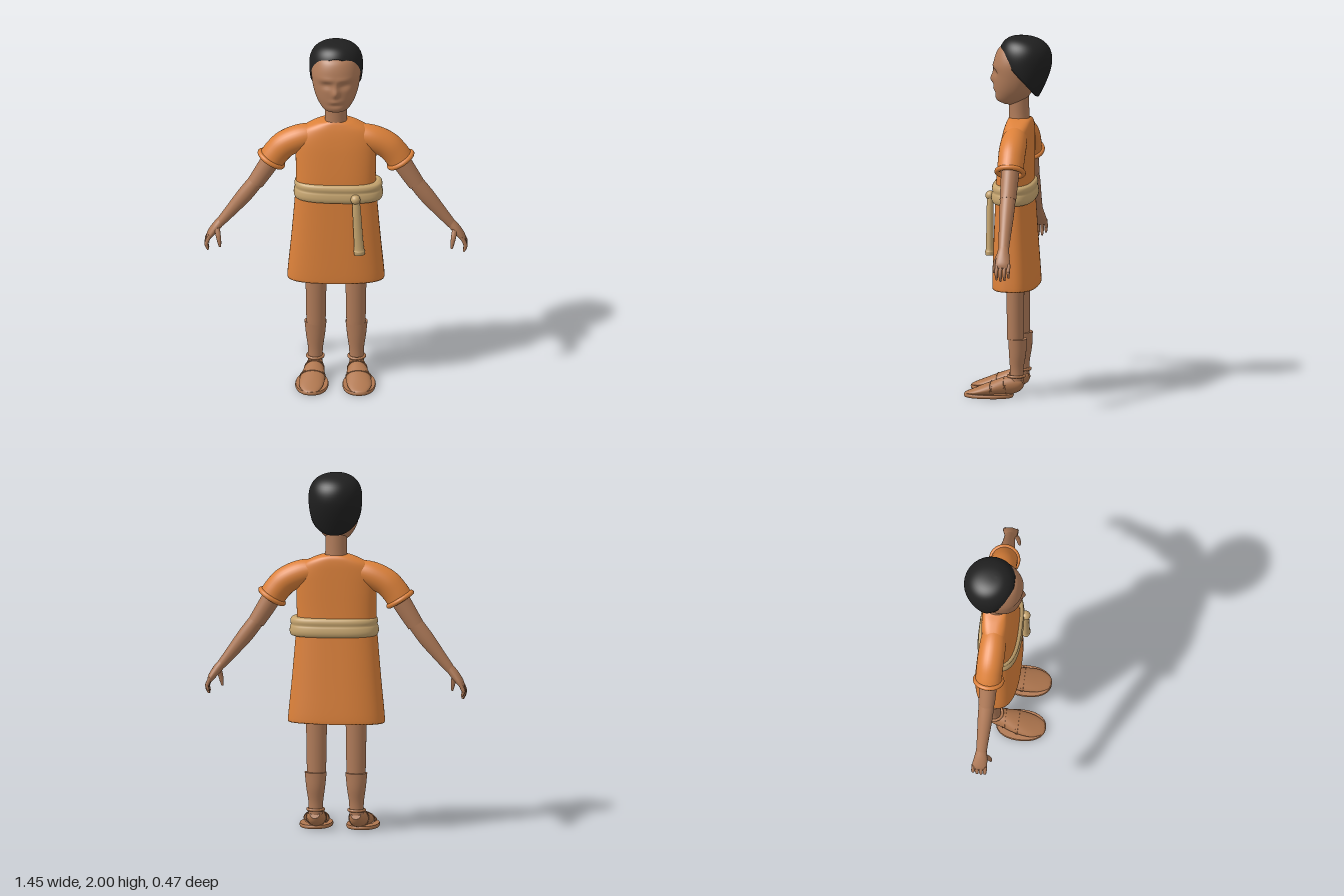
import * as THREE from 'three';

const material = (name, color, side = THREE.FrontSide) => {
  const m = new THREE.MeshStandardMaterial({ color, side });
  m.name = name;
  return m;
};
const X = new THREE.Vector3(1, 0, 0), Z = new THREE.Vector3(0, 0, 1);

// Smooth loft through oval sections [x, y, z, a, b]; b is the radius along `side`, a the one across it
function loft(sections, { side = Z, power = 2, sides = 32, steps = 5, caps = true } = {}) {
  const path = new THREE.CatmullRomCurve3(sections.map(s => new THREE.Vector3(s[0], s[1], s[2])), false, 'catmullrom');
  const radii = new THREE.CatmullRomCurve3(sections.map(s => new THREE.Vector3(s[3], s[4], 0)), false, 'catmullrom');
  const count = (sections.length - 1) * steps;
  const rows = [];
  if (caps) rows.push([0, 0], [0, 1]);
  for (let i = 0; i <= count; i++) rows.push([i / count, 1]);
  if (caps) rows.push([1, 1], [1, 0]);
  const bend = v => Math.sign(v) * Math.pow(Math.abs(v), 2 / power);
  const pos = [], index = [];
  rows.forEach(([t, k], i) => {
    const c = path.getPoint(t), r = radii.getPoint(t);
    const across = side.clone().cross(path.getTangent(t)).normalize();
    for (let j = 0; j < sides; j++) {
      const f = j / sides * Math.PI * 2;
      const p = c.clone().addScaledVector(across, k * r.x * bend(Math.cos(f)))
        .addScaledVector(side, k * r.y * bend(Math.sin(f)));
      pos.push(p.x, p.y, p.z);
      if (i) {
        const a = (i - 1) * sides + j, b = (i - 1) * sides + (j + 1) % sides;
        index.push(a, b, b + sides, a, b + sides, a + sides);
      }
    }
  });
  return surface(pos, index);
}

function surface(pos, index) {
  const g = new THREE.BufferGeometry();
  g.setAttribute('position', new THREE.Float32BufferAttribute(pos, 3));
  g.setIndex(index);
  g.computeVertexNormals();
  return g;
}

// Head with nose, brow, eye sockets and lips pushed out of the smooth form
function headGeometry() {
  const levels = [ // y, half width, front z, back z
    [1.622, 0.045, 0.035, -0.06], [1.645, 0.075, 0.073, -0.09], [1.7, 0.108, 0.083, -0.13],
    [1.77, 0.128, 0.086, -0.16], [1.85, 0.135, 0.088, -0.18], [1.92, 0.117, 0.066, -0.18],
    [1.955, 0.085, 0.025, -0.15], [1.975, 0.05, -0.02, -0.12]];
  const g = loft(levels.map(([y, w, f, b]) => [0, y, (f + b) / 2, w, (f - b) / 2]), { sides: 96, steps: 8, power: 2.15 });
  const p = g.attributes.position;
  const bump = (x, y, cx, cy, w, h) => Math.exp(-(((x - cx) / w) ** 2) - ((y - cy) / h) ** 2);
  for (let i = 0; i < p.count; i++) {
    if (p.getZ(i) < 0) continue;
    const x = Math.abs(p.getX(i)), y = p.getY(i);
    p.setZ(i, p.getZ(i) + 0.02 * bump(x, y, 0, 1.755, 0.018, 0.025) + 0.008 * bump(x, y, 0, 1.79, 0.014, 0.03)
      - 0.014 * bump(x, y, 0.05, 1.8, 0.035, 0.02) + 0.005 * bump(x, y, 0.04, 1.835, 0.05, 0.014)
      + 0.008 * bump(x, y, 0, 1.705, 0.03, 0.012) - 0.005 * bump(x, y, 0, 1.68, 0.04, 0.01));
  }
  g.computeVertexNormals();
  return g;
}

// Cap of hair: short over the brow, slanting down to the nape, with an edge tucked inwards
function hairGeometry() {
  const sides = 64, rows = 24, pos = [], index = [];
  for (let i = 0; i <= rows + 1; i++) {
    const t = Math.min(i / rows, 1), k = i > rows ? 0.84 : 1;
    for (let j = 0; j < sides; j++) {
      const f = j / sides * Math.PI * 2;
      const edge = 1.787 + 0.14 * Math.cos(f) + 0.018 * Math.cos(2 * f);
      const y = 2 - (2 - edge) * t * t;
      const u = Math.max(0, (1.86 - y) / 0.19), v = Math.max(0, (y - 1.86) / 0.14);
      const dome = Math.pow(Math.max(0, 1 - Math.pow(v, 2.5)), 0.4);
      const rx = 0.148 * dome * (1 - 0.3 * u * u), rz = 0.148 * dome * (1 - 0.47 * Math.pow(u, 1.5));
      const lean = 0.035 * (1 - dome);
      pos.push(k * rx * Math.sin(f), y, -0.087 + lean + k * rz * Math.cos(f));
      if (i) {
        const a = (i - 1) * sides + j, b = (i - 1) * sides + (j + 1) % sides;
        index.push(a, b + sides, b, a, a + sides, b + sides);
      }
    }
  }
  return surface(pos, index);
}

export function createModel() {
  const skin = material('skin', 0xb07b59);
  const cloth = material('orange cloth', 0xdc813a, THREE.DoubleSide);
  const sashCloth = material('tan sash', 0xc6a56f);
  const hair = material('black hair', 0x202020, THREE.DoubleSide);
  const leather = material('sandal leather', 0xb0774f);
  const model = new THREE.Group();
  model.name = 'figure';
  const add = (name, geometry, mat, parent = model) => {
    const mesh = new THREE.Mesh(geometry, mat);
    mesh.name = name;
    parent.add(mesh);
    return mesh;
  };

  // Head and neck
  add('head', headGeometry(), skin);
  add('hair', hairGeometry(), hair);
  add('neck', loft([[0, 1.5, -0.055, 0.066, 0.058], [0, 1.57, -0.053, 0.06, 0.056], [0, 1.68, -0.05, 0.06, 0.055]]), skin);

  // Tunic, open at the hem
  const tunic = [ // y, half width, front z, back z
    [0.61, 0.262, 0.078, -0.157], [0.63, 0.267, 0.085, -0.164], [0.85, 0.246, 0.079, -0.15],
    [1.09, 0.226, 0.07, -0.135], [1.2, 0.22, 0.066, -0.131], [1.36, 0.222, 0.048, -0.131],
    [1.44, 0.215, 0.035, -0.131], [1.495, 0.18, 0.022, -0.13], [1.53, 0.115, 0.01, -0.125], [1.546, 0.06, 0.002, -0.112]];
  add('tunic', loft(tunic.map(([y, w, f, b]) => [0, y, (f + b) / 2, w, (f - b) / 2]),
    { power: 2.7, sides: 64, caps: false }), cloth);

  // Waist sash with a fold, knot and hanging end
  const fold = [[1.088, 0.226], [1.095, 0.24], [1.115, 0.246], [1.14, 0.243], [1.152, 0.239], [1.17, 0.242], [1.187, 0.237], [1.195, 0.222]];
  add('waistSash', loft(fold.map(([y, w]) => [0, y, -0.032, w, w - 0.124]), { power: 2.7, sides: 64, steps: 3 }), sashCloth)
    .rotation.z = -0.012;
  const knot = add('sashKnot', new THREE.SphereGeometry(0.027, 24, 16), sashCloth);
  knot.position.set(0.11, 1.122, 0.092);
  add('sashEnd', loft([[0.113, 1.13, 0.092, 0.018, 0.015], [0.117, 1.05, 0.092, 0.023, 0.019], [0.124, 0.92, 0.092, 0.025, 0.02],
    [0.13, 0.83, 0.092, 0.027, 0.021], [0.131, 0.812, 0.092, 0.031, 0.025], [0.132, 0.792, 0.092, 0.029, 0.022]]), sashCloth);

  for (const s of [1, -1]) {
    const word = s > 0 ? 'left' : 'right';
    const limb = (sections, options) => loft(sections.map(([x, ...rest]) => [s * x, ...rest]), options);

    // Sleeve and rolled cuff
    const arm = new THREE.Group();
    arm.name = word + 'Arm';
    model.add(arm);
    add('sleeve', limb([[0.1, 1.455, -0.052, 0.06, 0.06], [0.19, 1.435, -0.052, 0.073, 0.072],
      [0.275, 1.395, -0.054, 0.075, 0.074], [0.325, 1.345, -0.055, 0.074, 0.073], [0.357, 1.297, -0.055, 0.074, 0.074]],
      { caps: false }), cloth, arm);
    const cuff = add('sleeveCuff', new THREE.TorusGeometry(0.073, 0.014, 12, 40), cloth, arm);
    cuff.position.set(s * 0.356, 1.3, -0.055);
    cuff.lookAt(s * (0.356 + 0.53), 1.3 - 0.85, -0.055);

    // Upper arm, forearm and hand
    add('upperArm', limb([[0.32, 1.36, -0.055, 0.053, 0.052], [0.375, 1.265, -0.055, 0.052, 0.049], [0.442, 1.158, -0.055, 0.046, 0.045]]), skin, arm);
    add('forearm', limb([[0.435, 1.172, -0.055, 0.042, 0.043], [0.5, 1.085, -0.056, 0.043, 0.041],
      [0.575, 0.99, -0.058, 0.034, 0.034], [0.638, 0.912, -0.06, 0.025, 0.029]]), skin, arm);
    add('palm', limb([[0.63, 0.925, -0.06, 0.024, 0.028], [0.66, 0.887, -0.06, 0.025, 0.036],
      [0.69, 0.846, -0.063, 0.02, 0.041], [0.702, 0.822, -0.065, 0.013, 0.038]]), skin, arm);
    for (let i = 0; i < 4; i++) {
      const z = -0.031 - i * 0.022, drop = [0.008, 0, 0.004, 0.02][i];
      add('finger', limb([[0.694, 0.845, z, 0.011, 0.01], [0.711, 0.805, z, 0.011, 0.01],
        [0.713, 0.778 + drop, z, 0.01, 0.009], [0.704, 0.752 + drop, z, 0.006, 0.006]], { sides: 12 }), skin, arm);
    }
    add('thumb', limb([[0.655, 0.89, -0.035, 0.015, 0.013], [0.648, 0.85, -0.017, 0.014, 0.012],
      [0.642, 0.815, -0.01, 0.011, 0.01], [0.638, 0.787, -0.007, 0.006, 0.006]], { sides: 12 }), skin, arm);

    // Leg
    const leg = new THREE.Group();
    leg.name = word + 'Leg';
    model.add(leg);
    add('thigh', limb([[0.11, 0.32, -0.049, 0.053, 0.046], [0.11, 0.48, -0.048, 0.056, 0.048], [0.11, 0.78, -0.046, 0.06, 0.051]]), skin, leg);
    add('shin', limb([[0.114, 0.09, -0.055, 0.04, 0.037], [0.113, 0.16, -0.056, 0.041, 0.038],
      [0.113, 0.24, -0.06, 0.052, 0.047], [0.113, 0.325, -0.06, 0.061, 0.051]]), skin, leg);

    // Sandal: sole, foot-shaped upper, straps and ankle band
    add('sole', limb([[0.13, 0, 0.0975, 0.088, 0.134], [0.13, 0.01, 0.0975, 0.092, 0.138], [0.13, 0.02, 0.0975, 0.089, 0.135]],
      { power: 2.2, sides: 48 }), leather, leg);
    add('foot', limb([[0.114, 0.09, -0.088, 0.022, 0.026], [0.115, 0.073, -0.055, 0.045, 0.042], [0.118, 0.062, 0, 0.05, 0.053],
      [0.126, 0.046, 0.08, 0.038, 0.068], [0.133, 0.03, 0.16, 0.022, 0.066], [0.134, 0.02, 0.215, 0.01, 0.042],
      [0.134, 0.017, 0.23, 0.004, 0.02]], { side: X }), leather, leg);
    for (const [z, x, y, h, w] of [[0.005, 0.118, 0.061, 0.053, 0.057], [0.078, 0.126, 0.046, 0.042, 0.072]])
      add('strap', limb([[x, y, z - 0.007, h, w], [x, y, z + 0.007, h, w]], { side: X, steps: 1 }), leather, leg);
    const band = add('ankleBand', new THREE.TorusGeometry(0.044, 0.008, 10, 36), leather, leg);
    band.position.set(s * 0.114, 0.116, -0.053);
    band.rotation.x = Math.PI / 2;
  }
  return model;
}
